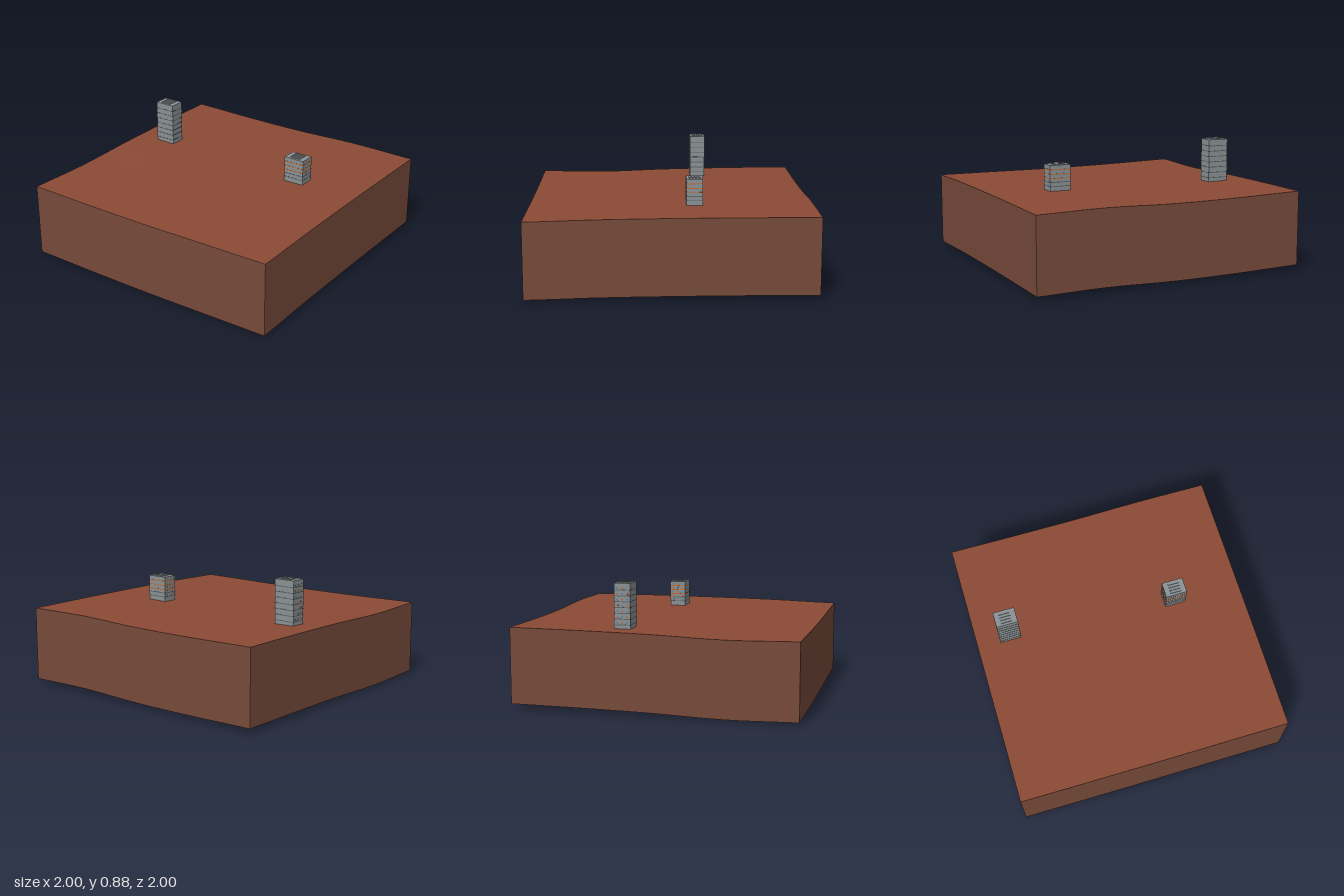
import * as THREE from 'three';

const mat = (name, color, side = THREE.FrontSide) => {
  const m = new THREE.MeshStandardMaterial({ color, side });
  m.name = name;
  return m;
};

// Edge heights of the rolling ground, at five even steps along each border
const profile = (values) => new THREE.SplineCurve(values.map((v, i) => new THREE.Vector2(i, v)));
const left = profile([0.015, 0.006, 0.002, 0.006, 0.01]);
const right = profile([0.038, 0.028, 0.026, 0.038, 0.03]);
const back = profile([0.015, 0.008, 0.025, 0.034, 0.038]);
const front = profile([0.01, 0.023, 0.029, 0.031, 0.03]);
const DEPTH = 0.535;

// Ground height above the slab depth, blended from the four borders
function relief(x, z) {
  const u = (x + 1) / 2, v = (z + 1) / 2;
  const h = (curve, t) => curve.getPoint(t).y;
  const across = (1 - u) * h(left, v) + u * h(right, v);
  const along = (1 - v) * h(back, u) + v * h(front, u);
  const corners = (1 - v) * ((1 - u) * 0.015 + u * 0.038) + v * ((1 - u) * 0.01 + u * 0.03);
  return across + along - corners;
}

function raise(geometry) {
  const p = geometry.attributes.position;
  for (let i = 0; i < p.count; i++) p.setY(i, p.getY(i) + relief(p.getX(i), p.getZ(i)));
  geometry.computeVertexNormals();
  return geometry;
}

export function createModel() {
  const soil = mat('red soil', 0x8b4a35, THREE.DoubleSide);
  const earth = mat('cut earth', 0x774b3a, THREE.DoubleSide);
  const concrete = mat('concrete grey', 0x8b9194);
  const dark = mat('dark grey', 0x5c6367);
  const orange = mat('orange', 0xc8652a);
  const blue = mat('window blue', 0x4f86a8);

  const model = new THREE.Group();
  model.name = 'terrainBlock';
  const add = (parent, name, geometry, material, x = 0, y = 0, z = 0) => {
    const mesh = new THREE.Mesh(geometry, material);
    mesh.name = name;
    mesh.position.set(x, y, z);
    parent.add(mesh);
  };

  // Ground surface
  const ground = new THREE.PlaneGeometry(2, 2, 24, 24).rotateX(-Math.PI / 2).translate(0, DEPTH, 0);
  add(model, 'ground', raise(ground), soil);

  // Four skirt walls, open underneath
  ['frontWall', 'leftWall', 'backWall', 'rightWall'].forEach((name, i) => {
    const wall = new THREE.PlaneGeometry(2, DEPTH, 24, 1).translate(0, DEPTH / 2, 1).rotateY(i * Math.PI / 2);
    add(model, name, raise(wall), earth);
  });

  // Block tower with floor bands, rear window strips and roof ribs
  function tower(name, x, z, top, bands) {
    const W = 0.115, D = 0.157, base = 0.54;
    const group = new THREE.Group();
    group.name = name;
    group.position.set(x, 0, z);
    add(group, 'body', new THREE.BoxGeometry(W, top - base, D), concrete, 0, (top + base) / 2, 0);
    bands.forEach(([y, material], i) => {
      add(group, 'floorBand', new THREE.BoxGeometry(W + 0.002, 0.006, D + 0.002), material, 0, y, 0);
      for (let k = -1; k <= 1; k++) {
        add(group, 'rearWindow', new THREE.BoxGeometry(0.014, 0.01, 0.003),
          (i + k) % 2 ? blue : orange, k * 0.034, y + 0.014, -D / 2);
      }
    });
    for (let k = 0; k < 4; k++) {
      add(group, 'roofRib', new THREE.BoxGeometry(0.014, 0.007, 0.08), concrete, (k - 1.5) * 0.022, top + 0.0035, 0);
    }
    model.add(group);
  }
  tower('shortTower', 0.168, 0.5, 0.752,
    [[0.6, dark], [0.63, dark], [0.657, orange], [0.688, orange], [0.72, orange]]);
  tower('tallTower', 0.248, -0.75, 0.877,
    [0.59, 0.63, 0.67, 0.71, 0.75, 0.79, 0.83].map((y) => [y, dark]));

  return model;
}
